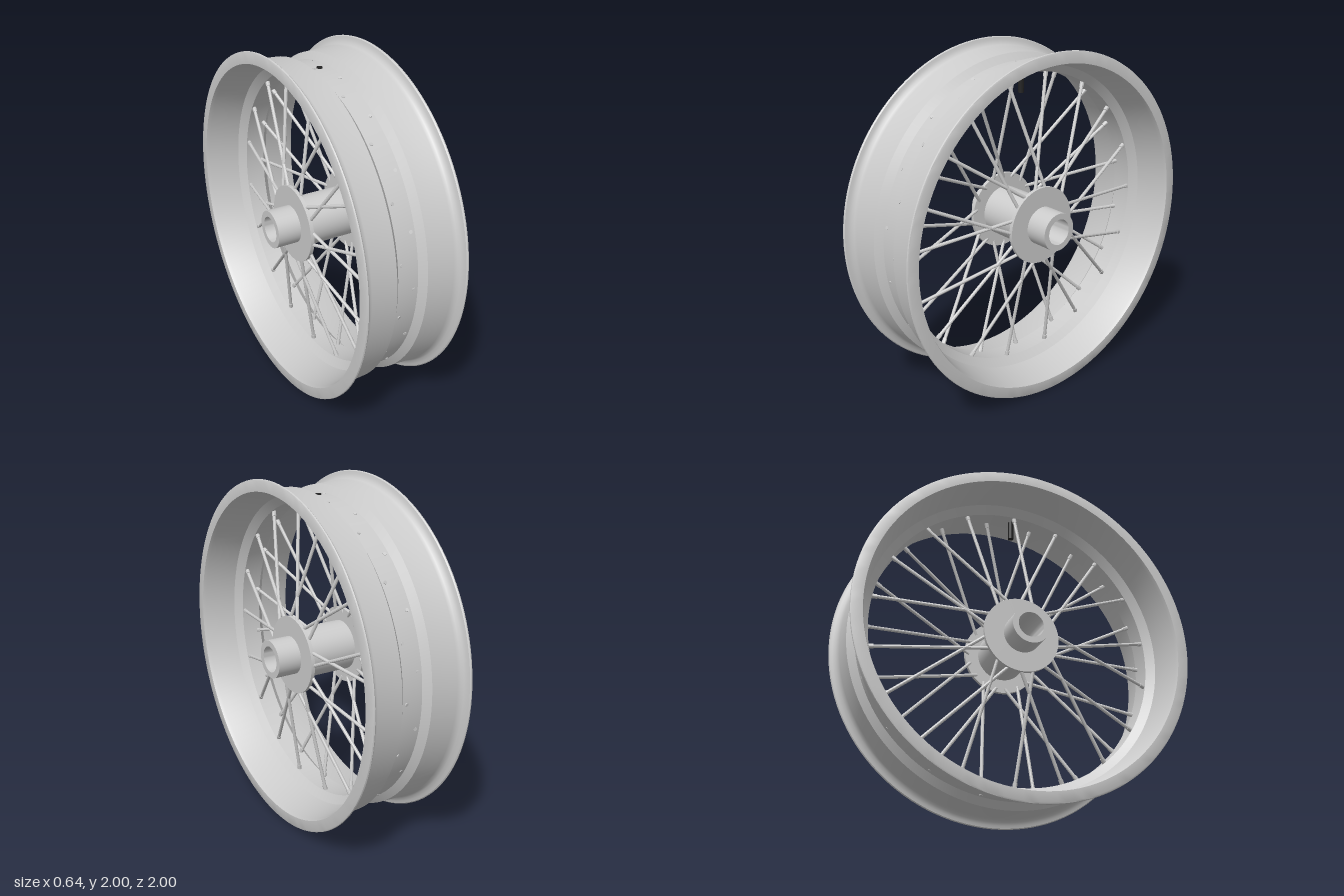
import * as THREE from 'three';
import { toCreasedNormals } from 'three/addons/utils/BufferGeometryUtils.js';

export function createModel() {
  const model = new THREE.Group();
  const grey = new THREE.MeshStandardMaterial({ color: 0xcccccc });
  const black = new THREE.MeshStandardMaterial({ color: 0x222222 });

  // The wheel is built around the origin, then lifted to stand on the ground
  const wheel = new THREE.Group();
  wheel.name = 'wheel';
  wheel.position.y = 1;
  model.add(wheel);

  const addMesh = (name, geometry, material = grey, parent = wheel) => {
    const mesh = new THREE.Mesh(geometry, material);
    mesh.name = name;
    parent.add(mesh);
    return mesh;
  };

  // Closed ring around the x axle from [radius, x] points
  const ring = (name, profile, segments) => {
    const points = profile.map(([r, x]) => new THREE.Vector2(r, x));
    points.push(points[0].clone());
    const geometry = new THREE.LatheGeometry(points, segments);
    geometry.rotateZ(-Math.PI / 2);
    return addMesh(name, toCreasedNormals(geometry, 0.5));
  };

  // Straight round bar between two points
  const up = new THREE.Vector3(0, 1, 0);
  const bar = (name, from, to, radius, parent) => {
    const along = to.clone().sub(from);
    const geometry = new THREE.CylinderGeometry(radius, radius, along.length(), 10);
    const mesh = addMesh(name, toCreasedNormals(geometry, 0.8), grey, parent);
    mesh.position.copy(from).add(to).multiplyScalar(0.5);
    mesh.quaternion.setFromUnitVectors(up, along.normalize());
  };

  // Rim: drop-centre tread side and hollow inner side, mirrored across x = 0
  const tread = [[0.9, 0.06], [0.94, 0.092], [0.948, 0.245], [0.953, 0.265],
    [0.963, 0.277], [0.98, 0.285], [0.995, 0.289], [1, 0.295], [0.998, 0.302], [0.99, 0.306]];
  const inside = [[0.933, 0.306], [0.925, 0.285], [0.897, 0.1], [0.853, 0.06]];
  const half = [...tread, ...inside];
  const mirrored = half.map(([r, x]) => [r, -x]).reverse();
  ring('rim', [...half, ...mirrored], 128);

  // Hub: axle tube, central barrel and two spoke flanges
  ring('axleTube', [[0.11, -0.32], [0.11, 0.32], [0.075, 0.32], [0.075, -0.32]], 48);
  ring('hubBarrel', [[0.145, -0.16], [0.145, 0.16], [0.1, 0.16], [0.1, -0.16]], 48);
  for (const side of [-1, 1]) {
    const a = side * 0.17 - 0.011, b = side * 0.17 + 0.011;
    ring(side > 0 ? 'leftFlange' : 'rightFlange', [[0.225, a], [0.225, b], [0.1, b], [0.1, a]], 64);
  }

  // Spokes: 36 in two rows, leaning alternately forwards and backwards
  const spokes = new THREE.Group();
  spokes.name = 'spokes';
  wheel.add(spokes);
  const onCircle = (x, r, degrees) => {
    const t = THREE.MathUtils.degToRad(degrees);
    return new THREE.Vector3(x, r * Math.sin(t), -r * Math.cos(t));
  };
  for (let i = 0; i < 36; i++) {
    const side = i % 2 === 0 ? 1 : -1;
    const lean = Math.floor(i / 2) % 2 === 0 ? 22 : -22;
    const hubEnd = onCircle(side * 0.165, 0.2, i * 10 + lean);
    const rimEnd = onCircle(side * 0.035, 0.903, i * 10);
    bar('spoke', hubEnd, rimEnd, 0.01, spokes);
    const nippleEnd = rimEnd.clone().lerp(hubEnd, 0.03);
    bar('spokeNipple', rimEnd.clone().lerp(hubEnd, 0.11), nippleEnd, 0.013, spokes);
  }

  // Valve stem through the top of the rim
  const valve = addMesh('valveStem', toCreasedNormals(new THREE.CylinderGeometry(0.017, 0.017, 0.17, 20), 0.6), black);
  valve.position.y = 0.82;

  return model;
}
